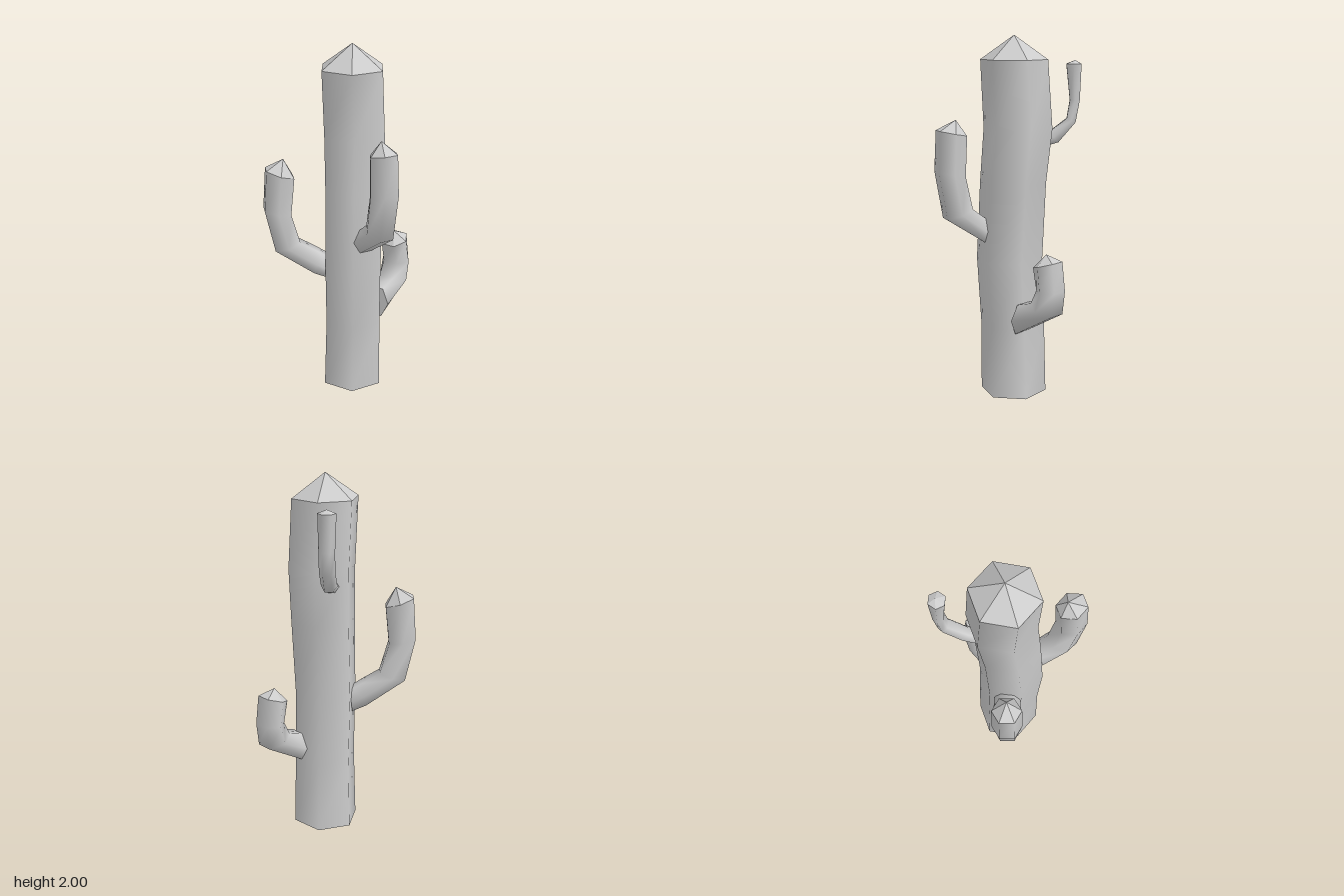
import * as THREE from 'three';

const SIDES = 6;

// Six-sided stem lofted through rings, with a faceted pointed tip.
// origin: [x, z]; dir: horizontal heading [x, z].
// ring: [inner reach, inner y, outer reach, outer y, half width, sideways shift]
// tip: [reach, y]
function makeStem(name, origin, dir, rings, tip, material, tipMaterial) {
  const d = new THREE.Vector2(...dir).normalize();
  const place = (u, y, s) =>
    new THREE.Vector3(origin[0] + d.x * u + d.y * s, y, origin[1] + d.y * u - d.x * s);
  const loops = rings.map(([ui, yi, uo, yo, w, shift = 0]) => {
    const um = (ui + uo) / 2, ym = (yi + yo) / 2;
    return [
      place(um, ym, shift + w), place(uo, yo, shift + w / 2), place(uo, yo, shift - w / 2),
      place(um, ym, shift - w), place(ui, yi, shift - w / 2), place(ui, yi, shift + w / 2),
    ];
  });

  // smooth sides
  const index = [];
  for (let i = 0; i < loops.length - 1; i++) {
    for (let j = 0; j < SIDES; j++) {
      const a = i * SIDES + j, b = i * SIDES + (j + 1) % SIDES;
      index.push(a, a + SIDES, b, b, a + SIDES, b + SIDES);
    }
  }
  const body = new THREE.BufferGeometry().setFromPoints(loops.flat());
  body.setIndex(index);
  body.computeVertexNormals();

  // faceted tip and flat base
  const first = loops[0], last = loops[loops.length - 1];
  const apex = place(tip[0], tip[1], 0);
  const centre = first[0].clone().add(first[3]).multiplyScalar(0.5);
  const tipPoints = [], basePoints = [];
  for (let j = 0; j < SIDES; j++) {
    const k = (j + 1) % SIDES;
    tipPoints.push(last[j], apex, last[k]);
    basePoints.push(centre, first[j], first[k]);
  }

  const group = new THREE.Group();
  group.name = name;
  const add = (part, geometry, mat) => {
    const mesh = new THREE.Mesh(geometry, mat);
    mesh.name = name + part;
    group.add(mesh);
  };
  const facets = (points) => {
    const g = new THREE.BufferGeometry().setFromPoints(points);
    g.computeVertexNormals();
    return g;
  };
  add('Body', body, material);
  add('Tip', facets(tipPoints), tipMaterial);
  add('Base', facets(basePoints), tipMaterial);
  return group;
}

export function createModel() {
  const smooth = new THREE.MeshStandardMaterial({ color: 0xcccccc });
  const flat = new THREE.MeshStandardMaterial({ color: 0xcccccc, flatShading: true });
  const model = new THREE.Group();
  model.name = 'cactus';
  const stem = (...args) => model.add(makeStem(...args, smooth, flat));

  // gently swaying trunk
  stem('trunk', [0.03, -0.04], [0, 1], [
    [-0.16, 0, 0.16, 0, 0.185, 0],
    [-0.15, 0.4, 0.163, 0.4, 0.174, 0],
    [-0.14, 0.77, 0.183, 0.77, 0.175, -0.01],
    [-0.15, 1.2, 0.168, 1.2, 0.182, 0.008],
    [-0.178, 1.5, 0.15, 1.5, 0.187, 0.022],
    [-0.16, 1.87, 0.16, 1.87, 0.185, 0],
  ], [0, 2]);

  // arms, each rising out of the trunk and bending upward
  stem('frontArm', [0.015, 0], [0, 1], [
    [0.09, 0.98, 0.11, 0.86, 0.075],
    [0.21, 1.07, 0.355, 1.02, 0.08],
    [0.25, 1.25, 0.4, 1.28, 0.084],
    [0.24, 1.47, 0.39, 1.5, 0.078],
  ], [0.29, 1.555]);

  stem('rightArm', [0.03, -0.04], [-0.945, -0.328], [
    [0.14, 0.8, 0.15, 0.675, 0.075],
    [0.2, 0.84, 0.228, 0.71, 0.078],
    [0.3, 0.9, 0.44, 0.86, 0.08],
    [0.348, 1.07, 0.493, 1.1, 0.083],
    [0.327, 1.28, 0.477, 1.33, 0.08],
  ], [0.381, 1.385]);

  stem('leftArm', [0.17, -0.02], [0.906, -0.42], [
    [0.02, 0.55, 0.005, 0.38, 0.085],
    [0.12, 0.58, 0.266, 0.53, 0.093],
    [0.159, 0.66, 0.283, 0.66, 0.09],
    [0.131, 0.78, 0.266, 0.82, 0.083],
  ], [0.188, 0.855]);

  stem('backArm', [0.03, -0.15], [0.41, -0.91], [
    [0.04, 1.46, 0.045, 1.39, 0.045],
    [0.09, 1.475, 0.143, 1.42, 0.043],
    [0.187, 1.55, 0.236, 1.53, 0.042],
    [0.203, 1.65, 0.257, 1.65, 0.042],
    [0.182, 1.845, 0.264, 1.845, 0.048],
  ], [0.23, 1.865]);

  return model;
}
